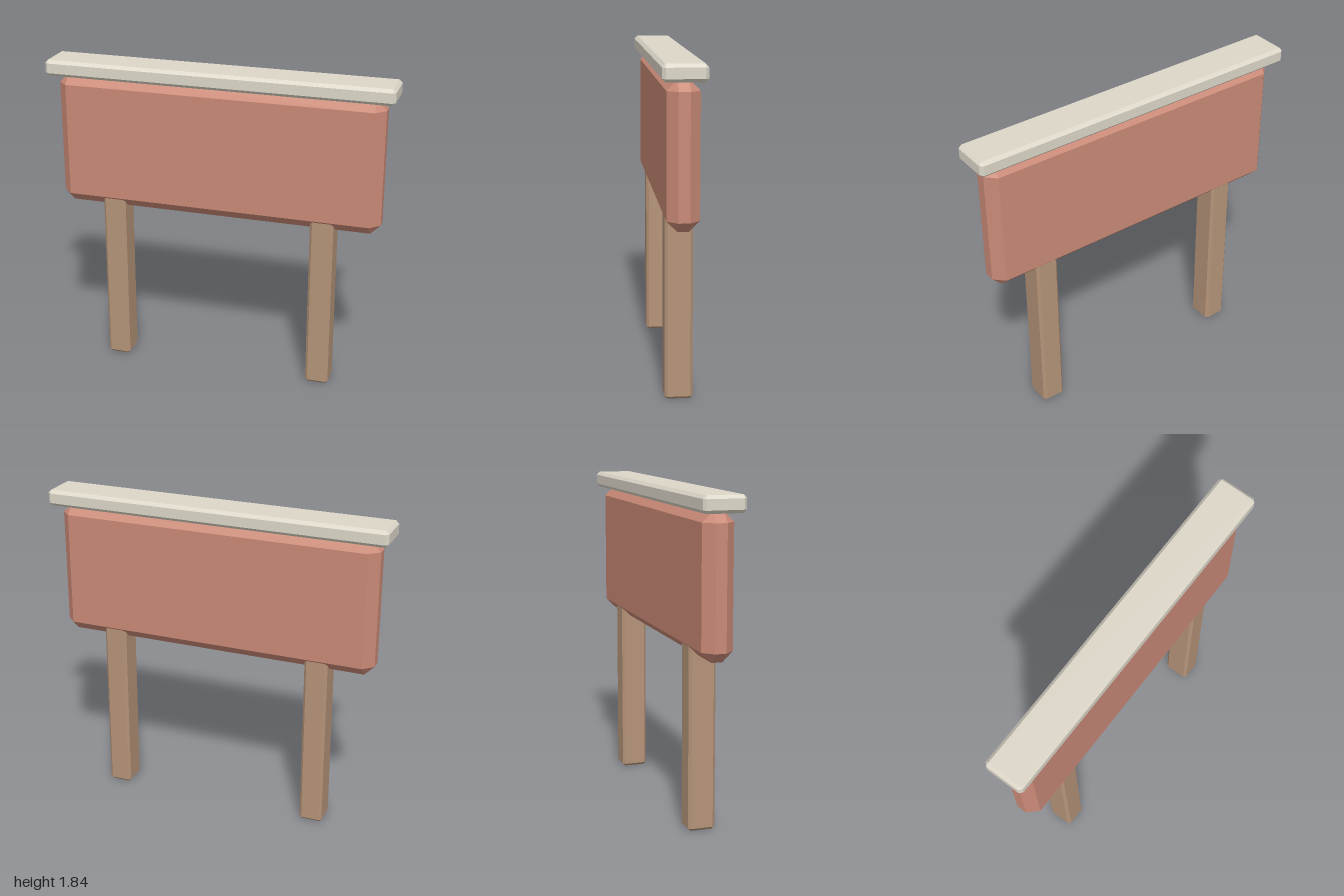
import * as THREE from 'three';
import { ConvexGeometry } from 'three/addons/geometries/ConvexGeometry.js';

// Box with every edge and corner cut flat by the bevel width b
function chamferedBox(w, h, d, b) {
  const points = [];
  for (const sx of [-1, 1]) for (const sy of [-1, 1]) for (const sz of [-1, 1]) {
    for (let axis = 0; axis < 3; axis++) {
      const inset = [b, b, b];
      inset[axis] = 0;
      points.push(new THREE.Vector3(
        sx * (w / 2 - inset[0]),
        sy * (h / 2 - inset[1]),
        sz * (d / 2 - inset[2])));
    }
  }
  return new ConvexGeometry(points);
}

export function createModel() {
  const group = new THREE.Group();
  group.name = 'signBoard';

  const material = color => new THREE.MeshStandardMaterial({ color, flatShading: true });
  const postWood = material(0xb59479);
  const panelRed = material(0xca8a77);
  const capCream = material(0xddd7c9);

  // Adds a chamfered box resting on height y0 and reaching y1
  const add = (name, mat, x, w, y0, y1, d, b) => {
    const mesh = new THREE.Mesh(chamferedBox(w, y1 - y0, d, b), mat);
    mesh.name = name;
    mesh.position.set(x, (y0 + y1) / 2, 0);
    group.add(mesh);
  };

  // Two posts, their tops sunk into the panel
  add('leftPost', postWood, 0.62, 0.135, 0, 1.08, 0.152, 0.015);
  add('rightPost', postWood, -0.62, 0.135, 0, 1.08, 0.152, 0.015);

  // Board with broad bevels
  add('panel', panelRed, 0, 1.89, 0.975, 1.748, 0.172, 0.056);

  // Overhanging top rail
  add('cap', capCream, 0, 2, 1.743, 1.835, 0.232, 0.018);

  return group;
}
